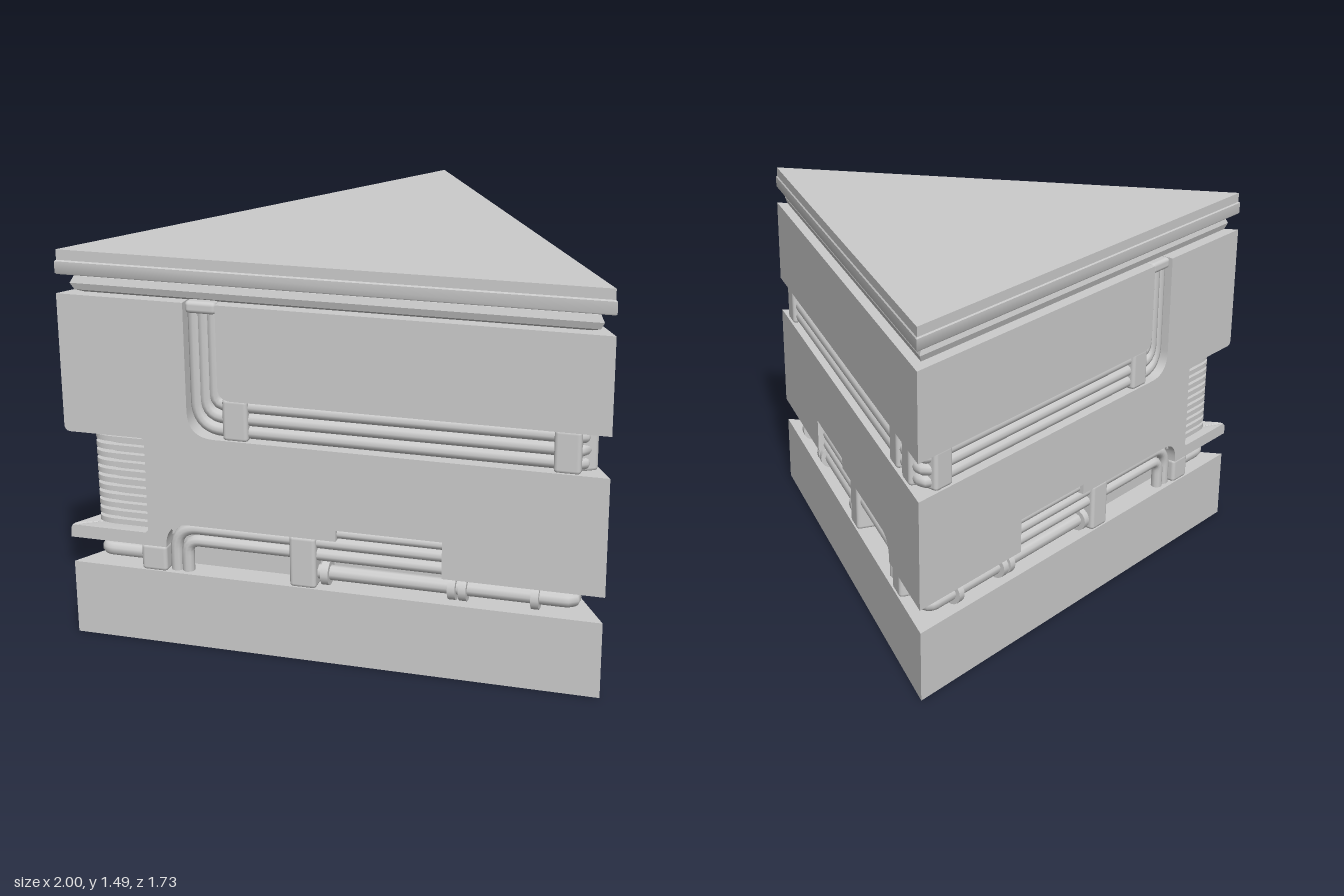
import * as THREE from 'three';
import { toCreasedNormals } from 'three/addons/utils/BufferGeometryUtils.js';
import { RoundedBoxGeometry } from 'three/addons/geometries/RoundedBoxGeometry.js';

const S3 = Math.sqrt(3), R = 2 / S3, APOTHEM = R / 2, DEPTH = 0.1;
const TURN = (2 * Math.PI) / 3;
const grey = new THREE.MeshStandardMaterial({ color: 0xcccccc, side: THREE.DoubleSide });

function add(parent, name, geometry, x = 0, y = 0, z = 0) {
  const mesh = new THREE.Mesh(geometry, grey);
  mesh.name = name;
  mesh.position.set(x, y, z);
  parent.add(mesh);
  return mesh;
}

// Triangular solid from a profile of [inset from the faces, height]
function prism(profile) {
  const pts = profile.map(([d, y]) => new THREE.Vector2(R - 2 * d, y));
  pts.unshift(new THREE.Vector2(0, pts[0].y));
  pts.push(new THREE.Vector2(0, pts[pts.length - 1].y));
  return toCreasedNormals(new THREE.LatheGeometry(pts, 3, Math.PI), 0.6);
}

// Closed shape from [x, y, corner rounding]
function roundedShape(points) {
  const shape = new THREE.Shape();
  const n = points.length;
  points.forEach(([x, y, r = 0], i) => {
    const toward = ([px, py]) => {
      const l = Math.hypot(px - x, py - y);
      return [x + ((px - x) * r) / l, y + ((py - y) * r) / l];
    };
    const a = toward(points[(i + n - 1) % n]), b = toward(points[(i + 1) % n]);
    if (i) shape.lineTo(...a); else shape.moveTo(...a);
    if (r) shape.quadraticCurveTo(x, y, ...b);
  });
  shape.closePath();
  return shape;
}

// Wall panel whose back is mitred so neighbouring faces meet at the corners
function panel(points, side) {
  const shape = roundedShape(points.map(([x, y, r]) => [x * side, y, r]));
  const g = new THREE.ExtrudeGeometry(shape, { depth: DEPTH, bevelEnabled: false, curveSegments: 8 });
  g.translate(0, 0, -DEPTH);
  const p = g.attributes.position, limit = 1 - DEPTH * S3;
  for (let i = 0; i < p.count; i++) {
    if (p.getZ(i) < -DEPTH / 2) p.setX(i, THREE.MathUtils.clamp(p.getX(i), -limit, limit));
  }
  return toCreasedNormals(g, 0.6);
}

// Point on a face: along it, height, depth below it
function onFace(face, u, y, d) {
  return new THREE.Vector3(u, y, APOTHEM - d).applyAxisAngle(new THREE.Vector3(0, 1, 0), face * TURN);
}

// Tube along straight runs with rounded bends; points are [Vector3, bend size]
function pipe(points, radius, segments) {
  const path = new THREE.CurvePath();
  let last = points[0][0];
  for (let i = 1; i < points.length; i++) {
    const [p, bend] = points[i];
    if (i === points.length - 1) {
      path.add(new THREE.LineCurve3(last, p));
      break;
    }
    const a = p.clone().add(last.clone().sub(p).setLength(bend));
    const b = p.clone().add(points[i + 1][0].clone().sub(p).setLength(bend));
    path.add(new THREE.LineCurve3(last, a));
    path.add(new THREE.QuadraticBezierCurve3(a, p, b));
    last = b;
  }
  return new THREE.TubeGeometry(path, segments, radius, 10, false);
}

function buildFace(face) {
  const g = new THREE.Group();
  g.name = ['frontWall', 'rightWall', 'leftWall'][face];
  g.rotation.y = face * TURN;
  const inner = new THREE.Group();
  inner.name = 'wallParts';
  inner.position.z = APOTHEM;
  g.add(inner);
  const side = face === 0 ? 1 : -1, plain = face === 1;

  // Wall with the stepped pipe notch along its lower edge
  const notch = [[-0.62, 0.39], [-0.62, 0.487, 0.09], [0.03, 0.487], [0.03, 0.53], [0.42, 0.53], [0.42, 0.39], [1, 0.39], [1, 0.83]];
  const upper = plain
    ? [[-1, 0.83]]
    : [[-0.52, 0.83, 0.1], [-0.52, 1.33], [-1, 1.33], [-1, 0.81, 0.025], [-0.69, 0.81, 0.015], [-0.69, 0.44, 0.015], [-1, 0.44, 0.025]];
  add(inner, 'lowerPanel', panel([[-1, 0.39], ...notch, ...upper], side));
  const start = plain ? -1 : -0.4;
  add(inner, 'upperPanel', panel([[start, 0.98, plain ? 0 : 0.05], [1, 0.98], [1, 1.33], [start, 1.33]], side));

  const clamp = (u, y0, y1, w, d = 0.05) =>
    add(inner, 'pipeClamp', new RoundedBoxGeometry(w, y1 - y0, 0.085, 2, 0.015), u * side, (y0 + y1) / 2, -d);
  // Clamps on the middle pipes
  for (const u of plain ? [-0.67, -0.82, 0.865] : [-0.343, 0.85]) clamp(u, 0.825, 0.985, 0.095);
  if (!plain) clamp(-0.46, 1.29, 1.335, 0.115);
  // Clamps and collars on the lower pipes
  clamp(-0.675, 0.285, 0.39, 0.1);
  clamp(-0.1, 0.285, 0.487, 0.1);
  for (const u of [-0.02, 0.45, 0.49, 0.75]) {
    const collar = new THREE.CylinderGeometry(0.047, 0.047, 0.028, 16).rotateZ(Math.PI / 2);
    add(inner, 'pipeCollar', collar, u * side, 0.338, -0.06);
  }
  // Bent pipes in the notch and the short bar above them
  [[-0.597, 0.46, 0.09], [-0.553, 0.412, 0.05]].forEach(([u, y, bend]) => {
    const v = (a, b) => new THREE.Vector3(a * side, b, -0.045);
    add(inner, 'bentPipe', pipe([[v(u, 0.28)], [v(u, y), bend], [v(0.43, y)]], 0.023, 60));
  });
  const bar = new THREE.CylinderGeometry(0.02, 0.02, 0.39, 10).rotateZ(Math.PI / 2);
  add(inner, 'notchBar', bar, 0.225 * side, 0.508, -0.035);
  return g;
}

export function createModel() {
  const model = new THREE.Group();
  model.name = 'triangularTower';
  const body = new THREE.Group();
  body.name = 'body';
  body.position.z = S3 / 2 - APOTHEM;
  model.add(body);

  // Stacked triangular solids
  add(body, 'base', prism([[0.003, 0], [0.003, 0.29]]));
  add(body, 'core', prism([[DEPTH, 0.25], [DEPTH, 1.35]]));
  add(body, 'neckBand', prism([[0.05, 1.33], [0.033, 1.34], [0.025, 1.365], [0.033, 1.39], [0.05, 1.4]]));
  add(body, 'roof', prism([[0.003, 1.4], [0, 1.405], [0, 1.447], [0.004, 1.452], [0.004, 1.49]]));

  for (let f = 0; f < 3; f++) body.add(buildFace(f));

  // Three parallel pipes: down the front, round two corners, up the left wall
  [[-0.492, 0.858, 0.1], [-0.457, 0.906, 0.07], [-0.422, 0.954, 0.04]].forEach(([u, y, bend]) => {
    const d = 0.045, c = 1 - d * S3;
    add(body, 'wrappingPipe', pipe([
      [onFace(0, u, 1.33, d)], [onFace(0, u, y, d), bend],
      [onFace(0, c, y, d), 0.06], [onFace(1, c, y, d), 0.06],
      [onFace(2, -u, y, d), bend], [onFace(2, -u, 1.33, d)],
    ], 0.025, 320));
  });

  // Lower pipes round each corner
  [[0, -0.1, 1, 0.1], [1, 0.65, 2, 0.1], [2, 0.65, 0, -0.65]].forEach(([fa, ua, fb, ub]) => {
    const d = 0.06, c = 1 - d * S3, y = 0.338;
    add(body, 'lowerPipe', pipe([[onFace(fa, ua, y, d)], [onFace(fa, c, y, d), 0.05], [onFace(fb, ub, y, d)]], 0.028, 110));
  });

  // Ribbed column in the front left corner
  const column = new THREE.Group();
  column.name = 'ribbedColumn';
  column.rotation.y = (7 * Math.PI) / 6;
  body.add(column);
  const wedge = (inset, h) => {
    const tip = R - 2 * inset, a = 0.36;
    const shape = roundedShape([[tip - (a * S3) / 2, -a / 2], [tip, 0, 0.13], [tip - (a * S3) / 2, a / 2]]);
    const g = new THREE.ExtrudeGeometry(shape, { depth: h, bevelEnabled: false, curveSegments: 12 });
    return toCreasedNormals(g.rotateX(-Math.PI / 2), 0.6);
  };
  add(column, 'columnCore', wedge(0.05, 0.4), 0, 0.425, 0);
  for (let i = 0; i < 11; i++) add(column, 'columnRib', wedge(0.028, 0.02), 0, 0.45 + i * 0.0325, 0);

  return model;
}
